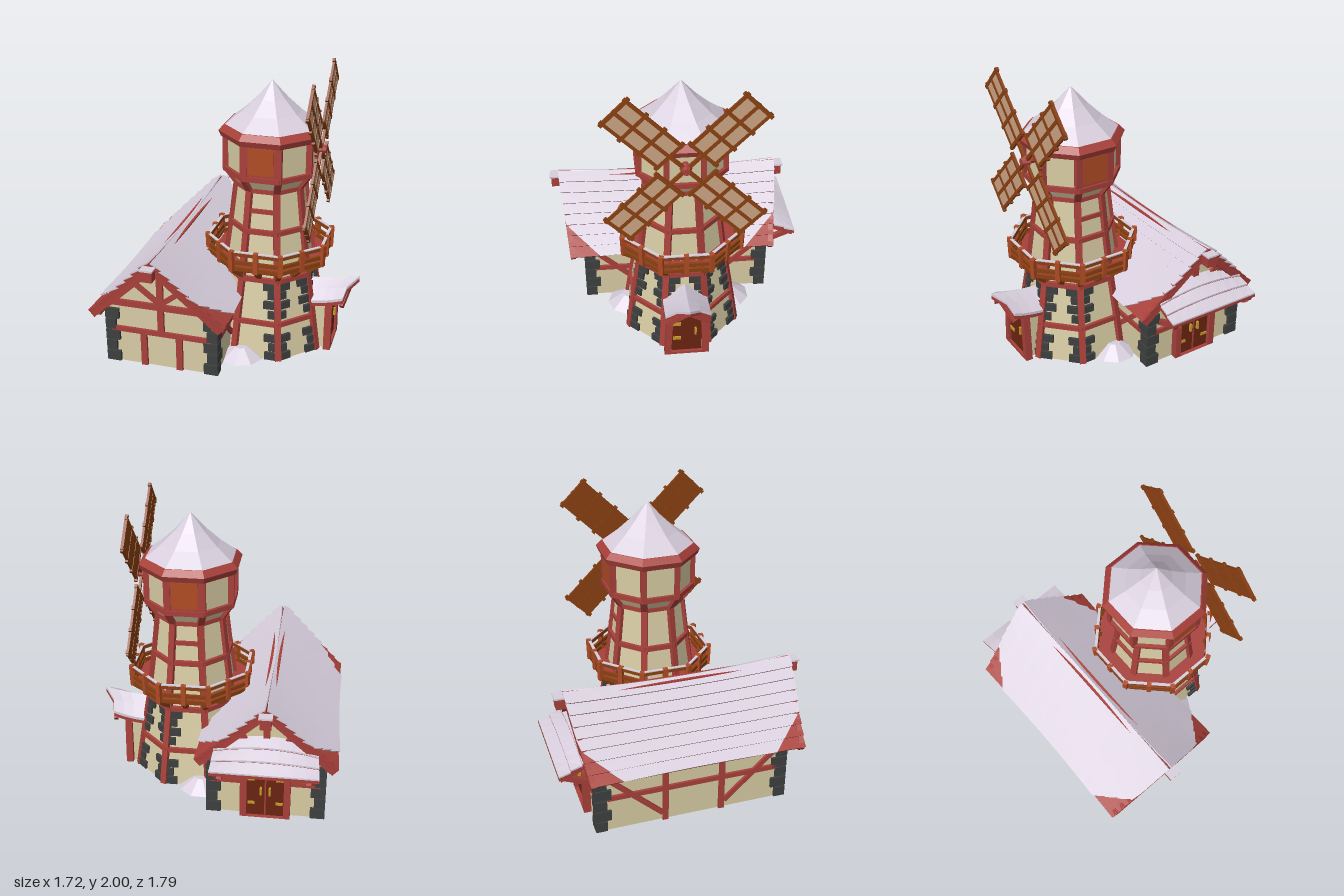
import * as THREE from 'three';

const mat = (name, color) => {
  const m = new THREE.MeshStandardMaterial({ color });
  m.name = name;
  return m;
};
const C = {
  wall: mat('plaster', 0xd8cca4), red: mat('redTimber', 0xa8403a), snow: mat('snow', 0xd8cedd),
  brown: mat('brownWood', 0x8a4012), shutter: mat('shutter', 0xb04c24), stone: mat('stone', 0x3e4040),
  door: mat('doorWood', 0x6a2410), brass: mat('brass', 0xc49a2a), sail: mat('sailCloth', 0xcaa484),
};

const P = (x, y, z) => new THREE.Vector3(x, y, z);
const lerp = THREE.MathUtils.lerp;

function add(parent, name, geo, m, x = 0, y = 0, z = 0) {
  const mesh = new THREE.Mesh(geo, m);
  mesh.name = name;
  mesh.position.set(x, y, z);
  parent.add(mesh);
  return mesh;
}
const box = (p, name, m, w, h, d, x, y, z) => add(p, name, new THREE.BoxGeometry(w, h, d), m, x, y, z);

// straight timber from a to b; w is its horizontal and d its other thickness
function beam(p, name, m, a, b, w, d = w) {
  const mesh = new THREE.Mesh(new THREE.BoxGeometry(w, d, a.distanceTo(b)), m);
  mesh.name = name;
  mesh.position.copy(a).lerp(b, 0.5);
  mesh.lookAt(b);
  p.add(mesh);
  return mesh;
}
function flat(geo) {
  const g = geo.index ? geo.toNonIndexed() : geo;
  g.computeVertexNormals();
  return g;
}
// unit box whose points are moved by a rule
function warp(p, name, m, sx, sz, rule) {
  const g = new THREE.BoxGeometry(1, 1, 1, sx, 1, sz);
  const pos = g.attributes.position;
  for (let i = 0; i < pos.count; i++) {
    const v = rule(pos.getX(i), pos.getY(i), pos.getZ(i));
    pos.setXYZ(i, v[0], v[1], v[2]);
  }
  return add(p, name, flat(g), m);
}
// eight-sided turned solid from [apothem, y] pairs
const K = Math.cos(Math.PI / 8);
const oct = (p, name, m, pts) => add(p, name, flat(new THREE.LatheGeometry(
  pts.map(([r, y]) => new THREE.Vector2(r / K, y)), 8, Math.PI / 8)), m);
// point on an octagon: even k is a face middle, odd k a corner
function octPoint(k, apothem, y) {
  const r = k % 2 ? apothem / K : apothem, t = k * Math.PI / 8;
  return P(Math.cos(t) * r, y, Math.sin(t) * r);
}

function tower() {
  const g = new THREE.Group();
  g.name = 'tower';
  g.position.set(0.2, 0, -0.015);
  oct(g, 'towerWalls', C.wall, [[0, 0], [0.385, 0], [0.345, 0.27], [0.295, 0.58], [0.255, 0.9],
    [0.222, 1.2], [0.285, 1.3], [0.285, 1.56], [0, 1.56]]);
  const levels = [[0.385, 0], [0.345, 0.27], [0.295, 0.58], [0.255, 0.9], [0.222, 1.2], [0.285, 1.3], [0.285, 1.55]];
  // corner posts
  for (let k = 1; k < 16; k += 2) for (let i = 0; i < 6; i++)
    beam(g, 'cornerPost', C.red, octPoint(k, levels[i][0], levels[i][1]), octPoint(k, levels[i + 1][0], levels[i + 1][1]), 0.045, 0.035);
  // horizontal bands
  for (const [r, y, h] of [[0.365, 0.265, 0.035], [0.318, 0.575, 0.035], [0.275, 0.915, 0.035], [0.24, 1.2, 0.03], [0.308, 1.305, 0.035]])
    oct(g, 'band', C.red, [[0, y - h / 2], [r, y - h / 2], [r, y + h / 2], [0, y + h / 2]]);
  for (const s of [1, -1]) {
    box(g, 'shortRail', C.red, 0.2, 0.03, 0.02, 0, 1.06, s * 0.242);
    box(g, 'windowFrame', C.red, 0.21, 0.225, 0.02, 0, 1.43, s * 0.285);
    box(g, 'windowShutter', C.shutter, 0.175, 0.185, 0.008, 0, 1.43, s * 0.297);
  }
  // corner stones flanking the outer posts
  for (const k of [3, 1, 15, 13]) for (const s of [1, -1])
    [0.03, 0.095, 0.16, 0.33, 0.4, 0.47, 0.53].forEach((y, i) => {
      const apo = lerp(0.385, 0.295, y / 0.58), w = i % 2 ? 0.045 : 0.075;
      const a = octPoint(k, apo, y), b = octPoint(k + s, apo, y);
      const dir = b.clone().sub(a).normalize();
      beam(g, 'cornerStone', C.stone, a.clone().addScaledVector(dir, 0.015), a.clone().addScaledVector(dir, 0.02 + w), 0.035, 0.056);
    });
  // cap roof
  oct(g, 'roofBrim', C.red, [[0, 1.535], [0.32, 1.535], [0.335, 1.575], [0.3, 1.615], [0, 1.615]]);
  oct(g, 'roofSnow', C.snow, [[0.308, 1.603], [0.19, 1.7], [0.1, 1.79], [0, 1.91]]);

  // balcony
  oct(g, 'balconyDeck', C.red, [[0, 0.64], [0.375, 0.655], [0.39, 0.68], [0, 0.68]]);
  for (let k = 0; k < 16; k++) {
    beam(g, 'balconyPost', C.shutter, octPoint(k, 0.405, 0.67), octPoint(k, 0.41, 0.825), 0.032);
    beam(g, 'balconyBracket', C.brown, octPoint(k, 0.3, 0.595), octPoint(k, 0.405, 0.685), 0.032);
    if (k % 2) {
      for (const y of [0.69, 0.735, 0.8])
        beam(g, 'balconyRail', C.brown, octPoint(k, 0.4, y), octPoint(k + 2, 0.4, y), 0.018, 0.027);
      beam(g, 'railSnow', C.snow, octPoint(k, 0.402, 0.816), octPoint(k + 2, 0.402, 0.816), 0.02, 0.007);
    }
  }
  return g;
}

function windmill() {
  const g = new THREE.Group();
  g.name = 'windmillSails';
  g.position.set(0.545, 1.46, -0.015);
  const hub = new THREE.CylinderGeometry(0.025, 0.042, 0.05, 8);
  add(g, 'hub', flat(hub), C.red, 0.01).rotation.z = -Math.PI / 2;
  const axle = new THREE.CylinderGeometry(0.025, 0.025, 0.1, 8);
  add(g, 'axle', flat(axle), C.red, -0.05).rotation.z = Math.PI / 2;
  for (let i = 0; i < 4; i++) {
    const b = new THREE.Group();
    b.name = 'blade';
    b.rotation.x = Math.PI / 4 + i * Math.PI / 2;
    box(b, 'bladeSpar', C.brown, 0.018, 0.63, 0.024, 0, 0.315, 0);
    box(b, 'sailCloth', C.sail, 0.005, 0.47, 0.2, 0.002, 0.385, 0);
    box(b, 'sailBacking', C.brown, 0.005, 0.47, 0.2, -0.004, 0.385, 0);
    for (const s of [1, -1]) box(b, 'bladeRail', C.brown, 0.016, 0.5, 0.022, 0, 0.385, s * 0.103);
    for (const y of [0.15, 0.305, 0.46, 0.615]) box(b, 'bladeCrossbar', C.brown, 0.02, 0.024, 0.256, 0, y, 0);
    g.add(b);
  }
  return g;
}

function towerPorch() {
  const g = new THREE.Group();
  g.name = 'towerPorch';
  g.position.set(0, 0, -0.015);
  box(g, 'porchWalls', C.wall, 0.18, 0.37, 0.24, 0.56, 0.185, 0);
  box(g, 'towerDoor', C.door, 0.012, 0.42, 0.21, 0.66, 0.21, 0);
  box(g, 'doorSill', C.red, 0.05, 0.02, 0.27, 0.66, 0.01, 0);
  for (const s of [1, -1]) {
    beam(g, 'doorPost', C.red, P(0.66, 0, s * 0.135), P(0.66, 0.38, s * 0.115), 0.05, 0.045);
    beam(g, 'doorLintel', C.red, P(0.67, 0.35, s * 0.12), P(0.67, 0.47, 0), 0.04, 0.05);
    // swept gable roof, timber below and snow on top
    for (const [name, m, lift, t] of [['porchRoof', C.red, 0, 0.025], ['porchSnow', C.snow, 0.022, 0.02]])
      warp(g, name, m, 4, 2, (a, b, c) => {
        const u = a + 0.5, v = c + 0.5, w = s > 0 ? v : 1 - v;
        const end = lerp(0.85, 0.76, Math.min(1, w * 1.6));
        return [lerp(0.48, end, u), lerp(0.46, 0.35, w) + 0.05 * u * u + lift + b * t, s * w * 0.155];
      });
    beam(g, 'porchBargeBoard', C.red, P(0.75, 0.36, s * 0.145), P(0.79, 0.48, 0), 0.03, 0.035);
  }
  for (const y of [0.14, 0.27]) box(g, 'hinge', C.brass, 0.01, 0.025, 0.055, 0.67, y, 0.07);
  box(g, 'doorHandle', C.brass, 0.02, 0.06, 0.014, 0.672, 0.2, -0.06);
  return g;
}

function house() {
  const g = new THREE.Group();
  g.name = 'house';
  g.position.x = -0.39;
  const s = new THREE.Shape();
  [[-0.385, 0], [0.385, 0], [0.385, 0.46], [0, 0.81], [-0.385, 0.46]].forEach(([x, y], i) => i ? s.lineTo(x, y) : s.moveTo(x, y));
  add(g, 'houseWalls', new THREE.ExtrudeGeometry(s, { depth: 1.31, bevelEnabled: false }), C.wall, 0, 0, -0.66);

  // stepped roof boards with a sagging ridge; snow is missing at the low corners
  const rows = 8, full = (u) => lerp(0.745, 0.805, u);
  for (const side of [1, -1]) for (let r = 0; r < rows; r++) {
    const strip = (name, m, lift, t, half) => warp(g, name, m, 1, 10, (a, b, c) => {
      const f = a + 0.5, u = (r + f * 1.06) / rows, l = lift + lerp(0.02, 0, f) + b * t;
      const e = 1 - 4 * c * c;
      return [side * Math.max(0, 0.455 * (1 - u) + l * 0.7 - 0.012 * e), 0.415 + 0.455 * u + l * 0.7 - 0.03 * e * u,
        0.025 - side * c * 2 * half(u)];
    });
    strip('roofBoard', C.red, 0, 0.028, full);
    strip('roofSnow', C.snow, 0.017, 0.009, (u) => Math.min(full(u) + 0.004, 0.53 + 0.62 * u));
  }
  box(g, 'ridgeBeam', C.red, 0.075, 0.075, 1.72, 0, 0.81, 0.025);
  for (const e of [1, -1]) {
    box(g, 'ridgeSnow', C.snow, 0.09, 0.012, 0.1, 0, 0.855, 0.025 + e * 0.82);
    const z = e > 0 ? 0.655 : -0.665;
    // gable timbers
    box(g, 'tieBeam', C.red, 0.8, 0.045, 0.03, 0, 0.468, z);
    box(g, 'kingPost', C.red, 0.045, 0.36, 0.03, 0, 0.64, z);
    for (const q of [1, -1]) {
      beam(g, 'gableBrace', C.red, P(0, 0.49, z), P(q * 0.22, 0.66, z), 0.03, 0.035);
      beam(g, 'wallRafter', C.red, P(q * 0.4, 0.44, z), P(0, 0.81, z), 0.035, 0.06);
      beam(g, 'bargeBoard', C.red, P(q * 0.455, 0.41, 0.025 + e * 0.725), P(0, 0.855, 0.025 + e * 0.785), 0.035, 0.06);
      beam(g, 'eaveBeam', C.red, P(q * 0.41, 0.43, 0), P(q * 0.41, 0.43, 0.025 + e * 0.74), 0.04);
      if (e > 0) box(g, 'frontStud', C.red, 0.045, 0.25, 0.03, q * 0.128, 0.125, z);
      else box(g, 'backRail', C.red, 0.22, 0.035, 0.03, q * 0.26, 0.265, z);
      // corner stones
      for (let i = 0; i < 5; i++) {
        const w = i % 2 ? 0.075 : 0.1, d = i % 2 ? 0.11 : 0.08;
        box(g, 'cornerStone', C.stone, w, 0.075, d, q * (0.403 - w / 2), 0.042 + i * 0.084, z + e * 0.018 - e * d / 2);
      }
      // long side timbers
      const x = q * 0.388;
      box(g, 'sideStud', C.red, 0.03, 0.44, 0.04, x, 0.22, e * 0.2);
      beam(g, 'sideBrace', C.red, P(x, 0.42, e * 0.6), P(x, 0.06, e * 0.22), 0.03, 0.035);
      if (e > 0) box(g, 'sideRail', C.red, 0.03, 0.035, 1.2, x, 0.26, 0);
    }
  }
  box(g, 'frontRail', C.red, 0.72, 0.035, 0.03, 0, 0.262, 0.655);
  box(g, 'frontPost', C.red, 0.045, 0.19, 0.03, 0, 0.36, 0.655);
  g.add(backPorch());
  return g;
}

function backPorch() {
  const g = new THREE.Group();
  g.name = 'backPorch';
  // arched door with a frame
  const arch = (w, y) => {
    const s = new THREE.Shape();
    s.moveTo(-w, 0);
    s.lineTo(w, 0);
    s.lineTo(w, y);
    s.absarc(0, y, w, 0, Math.PI, false);
    return s;
  };
  const frame = arch(0.17, 0.27);
  frame.holes.push(arch(0.125, 0.27));
  add(g, 'doorFrame', new THREE.ExtrudeGeometry(frame, { depth: 0.05, bevelEnabled: false, curveSegments: 8 }), C.red, 0, 0, -0.71);
  add(g, 'backDoor', new THREE.ExtrudeGeometry(arch(0.13, 0.27), { depth: 0.02, bevelEnabled: false, curveSegments: 8 }), C.door, 0, 0, -0.68);
  box(g, 'doorGap', C.red, 0.01, 0.38, 0.008, 0, 0.19, -0.682);
  for (const q of [1, -1]) {
    box(g, 'doorHandle', C.brass, 0.014, 0.06, 0.02, q * 0.03, 0.2, -0.688);
    for (const y of [0.1, 0.29]) box(g, 'hinge', C.brass, 0.05, 0.02, 0.008, q * 0.095, y, -0.683);
    beam(g, 'porchBracket', C.red, P(q * 0.29, 0.33, -0.65), P(q * 0.29, 0.43, -0.88), 0.035);
    beam(g, 'porchRafter', C.red, P(q * 0.32, 0.53, -0.66), P(q * 0.32, 0.43, -0.89), 0.03);
  }
  // arched lean-to roof in three steps
  for (let r = 0; r < 3; r++) for (const [name, m, lift, t] of [['porchBoard', C.red, 0, 0.022], ['porchSnow', C.snow, 0.016, 0.012]])
    warp(g, name, m, 8, 1, (a, b, c) => {
      const v = (r + 0.5 - c) / 3;
      return [a * lerp(0.68, 0.71, v), 0.54 - 0.1 * v + 0.06 * (1 - 4 * a * a) * (1 - v) + lift + (0.5 - c) * 0.014 + b * t, -0.665 - 0.235 * v];
    });
  return g;
}

// drifts in the corners between the tower and the house
function snowDrifts() {
  const g = new THREE.Group();
  g.name = 'snowDrifts';
  for (const s of [1, -1]) {
    const geo = new THREE.CylinderGeometry(0.05, 0.16, 0.075, 9);
    add(g, 'snowDrift', flat(geo), C.snow, 0.09, 0.0375, s * 0.37 - 0.015);
  }
  return g;
}

export function createModel() {
  const model = new THREE.Group();
  model.name = 'snowyWindmill';
  model.add(tower(), windmill(), towerPorch(), house(), snowDrifts());
  return model;
}
